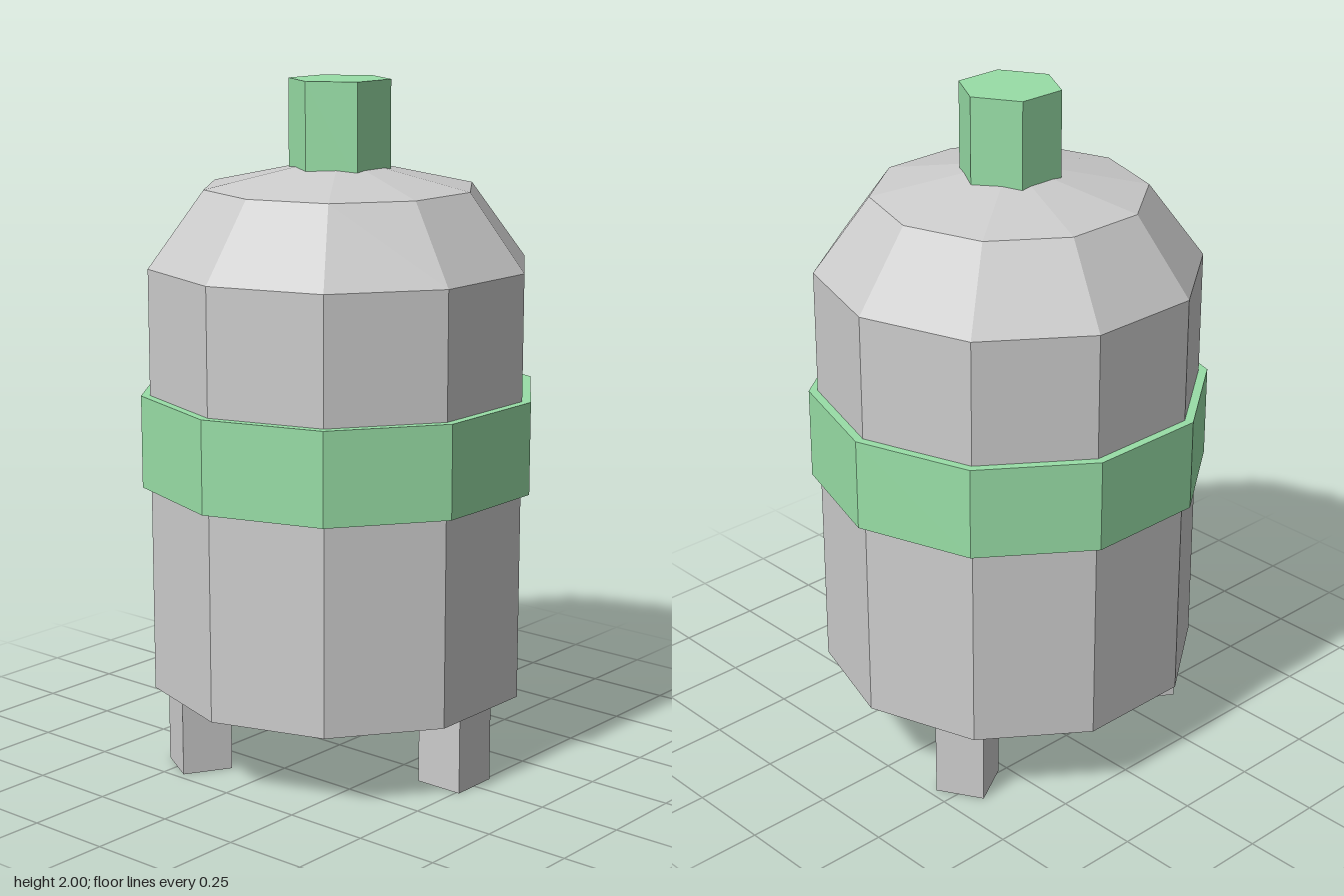
import * as THREE from 'three';

const grey = new THREE.MeshStandardMaterial({ color: 0xcccccc, flatShading: true });
const green = new THREE.MeshStandardMaterial({ color: 0x98dea6, flatShading: true });

// Faceted solid turned around the y axis from a bottom-to-top [radius, y] profile
function turned(name, profile, sides, material) {
  const points = profile.map(([r, y]) => new THREE.Vector2(r, y));
  const mesh = new THREE.Mesh(new THREE.LatheGeometry(points, sides), material);
  mesh.name = name;
  return mesh;
}

export function createModel() {
  const model = new THREE.Group();
  model.name = 'tank';

  // Ten-sided vessel with a sloped shoulder and shallow cap
  model.add(turned('tankBody', [[0, 0.23], [0.558, 0.23], [0.558, 1.475], [0.395, 1.695], [0.12, 1.755], [0, 1.755]], 10, grey));

  // Band around the middle
  model.add(turned('band', [[0.55, 0.84], [0.584, 0.84], [0.584, 1.11], [0.55, 1.11]], 10, green));

  // Hexagonal valve on top
  model.add(turned('valve', [[0, 1.72], [0.148, 1.72], [0.148, 2], [0, 2]], 6, green));

  // Three square legs, one on the model's left and two towards the right
  const legGeometry = new THREE.BoxGeometry(0.148, 0.24, 0.145);
  for (let i = 0; i < 3; i++) {
    const angle = (i * Math.PI * 2) / 3;
    const leg = new THREE.Mesh(legGeometry, grey);
    leg.name = `leg${i + 1}`;
    leg.position.set(0.436 * Math.cos(angle), 0.12, -0.436 * Math.sin(angle));
    leg.rotation.y = angle;
    model.add(leg);
  }

  return model;
}
